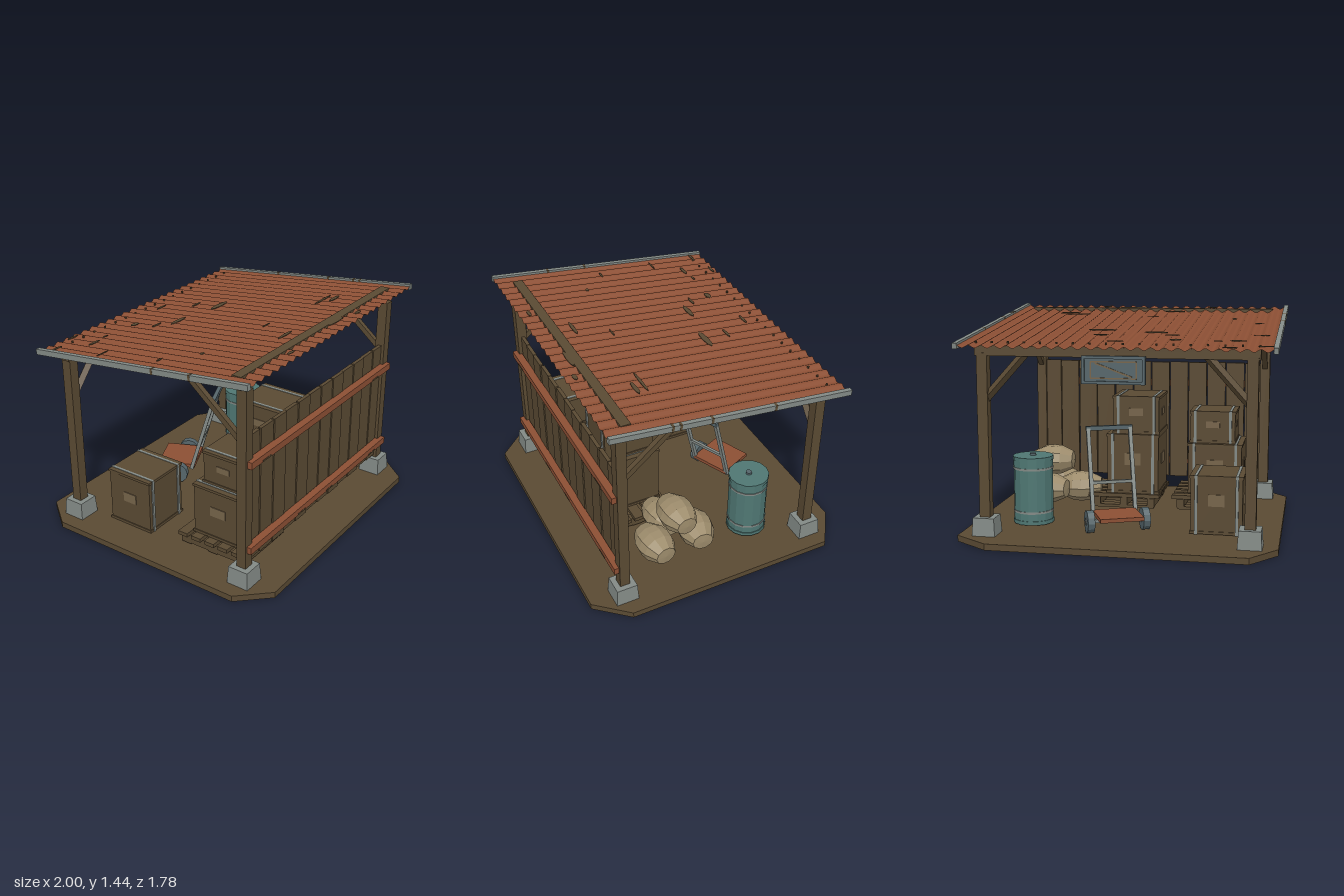
import * as THREE from 'three';

export function createModel() {
  const root = new THREE.Group();
  root.name = 'storageShelter';
  const mat = (name, color, extra = {}) => {
    const m = new THREE.MeshStandardMaterial({ color, flatShading: true, ...extra });
    m.name = name;
    return m;
  };
  const wood = mat('weatheredWood', 0x5a4a33);
  const rust = mat('rustRed', 0x8c4f34, { side: THREE.DoubleSide });
  const grey = mat('greyMetal', 0x838a86);
  const teal = mat('tealPaint', 0x4f7773);
  const slate = mat('slateBlue', 0x56666b);
  const burlap = mat('burlap', 0x9c8b6b);
  const tan = mat('tanLabel', 0x76644a);

  const add = (name, geo, m, x, y, z, parent = root) => {
    const mesh = new THREE.Mesh(geo, m);
    mesh.name = name;
    mesh.position.set(x, y, z);
    parent.add(mesh);
    return mesh;
  };
  const box = (name, m, w, h, d, x, y, z, parent) =>
    add(name, new THREE.BoxGeometry(w, h, d), m, x, y, z, parent);
  const group = (name, x, y, z, ry = 0, parent = root) => {
    const g = new THREE.Group();
    g.name = name;
    g.position.set(x, y, z);
    g.rotation.y = ry;
    parent.add(g);
    return g;
  };
  // Square bar running between two points
  const bar = (name, m, a, b, t, parent) => {
    const p = new THREE.Vector3(...a), q = new THREE.Vector3(...b);
    const mesh = box(name, m, t, t, p.distanceTo(q), 0, 0, 0, parent);
    mesh.position.copy(p).add(q).multiplyScalar(0.5);
    mesh.quaternion.setFromUnitVectors(new THREE.Vector3(0, 0, 1), q.sub(p).normalize());
    return mesh;
  };

  // Ground slab with clipped corners
  const outline = [[-0.82, 0.89], [-1, 0.7], [-1, -0.68], [-0.84, -0.89],
    [0.77, -0.89], [1, -0.73], [1, 0.68], [0.82, 0.89]].map(p => new THREE.Vector2(...p));
  const slab = new THREE.ExtrudeGeometry(new THREE.Shape(outline), { depth: 0.04, bevelEnabled: false });
  add('groundSlab', slab.rotateX(Math.PI / 2), wood, 0, 0.04, 0);

  // Posts, footings and braces
  for (const s of [-1, 1]) {
    for (const [z, top] of [[0.672, 1.33], [-0.66, 1.19]]) {
      box('post', wood, 0.068, top - 0.1, 0.066, s * 0.83, (top + 0.1) / 2, z);
      const foot = new THREE.CylinderGeometry(0.068 * Math.SQRT2, 0.075 * Math.SQRT2, 0.115, 4).rotateY(Math.PI / 4);
      add('footing', foot, grey, s * 0.83, 0.0975, z);
    }
    bar('frontBrace', wood, [s * 0.83, 0.99, 0.66], [s * 0.83, 1.3, 0.29], 0.035);
    bar('backBrace', wood, [s * 0.82, 0.9, -0.66], [s * 0.55, 1.2, -0.66], 0.04);
  }
  box('frontBeam', wood, 1.75, 0.082, 0.062, 0, 1.372, 0.643);
  box('backBeam', wood, 1.75, 0.062, 0.066, 0, 1.203, -0.658);

  // Plank wall and rails
  for (let i = 0; i < 12; i++) {
    const wobble = ((i * 7) % 5 - 2) * 0.002;
    box('wallPlank', wood, 0.13, 0.85 + wobble, 0.024, -0.752 + i * 0.1367, 0.597, 0.672 + wobble);
  }
  for (const [y, stains] of [[0.864, [-0.69, 0.64]], [0.284, [-0.28, 0.07, 0.66]]]) {
    box('wallRail', rust, 1.7, 0.045, 0.05, 0, y, 0.71);
    for (const x of stains) box('railStain', wood, 0.09, 0.01, 0.004, x, y - 0.015, 0.735);
  }

  // Corrugated roof
  const roof = group('roof', 0, 1.325, 0);
  roof.rotation.x = -0.115;
  const sheet = new THREE.PlaneGeometry(1.92, 1.58, 192, 1).rotateX(-Math.PI / 2);
  const pos = sheet.attributes.position;
  for (let i = 0; i < pos.count; i++) pos.setY(i, 0.009 * Math.cos(pos.getX(i) * Math.PI * 25));
  sheet.computeVertexNormals();
  add('roofSheet', sheet, rust, 0, 0, 0, roof);
  for (const s of [-1, 1]) {
    box('roofEdgeTrim', grey, 0.03, 0.036, 1.59, s * 0.966, 0.003, 0, roof);
    for (const z of s > 0 ? [-0.26, 0.16, 0.36, 0.41] : [0.13, 0.4])
      box('trimStain', wood, 0.032, 0.038, 0.015, s * 0.966, 0.003, z, roof);
  }
  // Weathered patches and fixing bolts
  const patches = [[-0.91, -0.7, 0.1, 0.02], [-0.7, -0.75, 0.09, 0.02], [-0.73, -0.54, 0.1, 0.025], [-0.61, -0.555, 0.05, 0.015],
    [0.01, -0.6, 0.1, 0.02], [-0.35, -0.53, 0.07, 0.04], [0.14, -0.4, 0.1, 0.02], [-0.31, -0.38, 0.09, 0.02],
    [-0.19, -0.295, 0.15, 0.035], [0.17, -0.23, 0.18, 0.045], [-0.86, -0.35, 0.1, 0.01], [-0.64, 0.24, 0.03, 0.025],
    [-0.07, 0.31, 0.08, 0.012], [-0.19, 0.525, 0.15, 0.025], [0.5, 0.38, 0.21, 0.02], [0.55, 0.44, 0.13, 0.03],
    [-0.44, 0.725, 0.07, 0.025], [0.14, 0.69, 0.18, 0.03], [0.34, 0.73, 0.06, 0.03], [-0.82, 0.06, 0.06, 0.015]];
  for (const [x, z, w, d] of patches) {
    const patch = new THREE.CylinderGeometry(0.5, 0.5, 0.004, 8).scale(w, 1, d);
    add('roofPatch', patch, wood, x, 0.01, z, roof);
  }
  for (let i = 0; i < 18; i++)
    add('roofBolt', new THREE.CylinderGeometry(0.007, 0.007, 0.012, 6), wood, -0.87 + i * 0.102, 0.01, -0.69, roof);

  // Hanging panel with frame and cross strips on the back beam
  const panel = group('hangingPanel', 0, 1.1, -0.7);
  box('panelBoard', slate, 0.39, 0.17, 0.016, 0, 0, 0, panel);
  for (const s of [-1, 1]) {
    box('panelFrameBar', slate, 0.39, 0.018, 0.012, 0, s * 0.076, -0.012, panel);
    box('panelFrameSide', slate, 0.018, 0.17, 0.012, s * 0.186, 0, -0.012, panel);
    box('panelLine', tan, 0.28, 0.008, 0.006, 0, s * 0.05, -0.01, panel);
    box('panelLineSide', tan, 0.008, 0.1, 0.006, s * 0.14, 0, -0.01, panel);
  }
  box('panelCross', tan, 0.24, 0.01, 0.006, 0, 0, -0.01, panel).rotation.z = 0.35;

  // Pallets
  const pallet = (x, z, w, d) => {
    const g = group('pallet', x, 0, z);
    for (const s of [-1, 0, 1]) box('palletRunner', wood, 0.05, 0.06, d, s * (w / 2 - 0.06), 0.095, 0, g);
    for (let i = 0; i < 5; i++) {
      const pz = (i / 4 - 0.5) * (d - 0.07);
      box('palletSlat', wood, w, 0.026, 0.07, 0, 0.14, pz, g);
      if (i % 2 === 0) box('palletFoot', wood, w - 0.08, 0.02, 0.07, 0, 0.065, pz, g);
    }
  };
  pallet(-0.5, 0.36, 0.53, 0.48);
  pallet(0.1, 0.33, 0.5, 0.46);

  // Crates with lids, metal straps and label plates
  const crate = (x, y, z, w, h, d) => {
    const g = group('crate', x, y, z);
    box('crateBody', wood, w - 0.012, h, d - 0.012, 0, h / 2, 0, g);
    box('crateLid', wood, w, 0.018, d, 0, h - 0.009, 0, g);
    box('crateBase', wood, w, 0.018, d, 0, 0.009, 0, g);
    for (const s of [-1, 1]) box('crateStrap', grey, 0.018, h + 0.006, d + 0.006, s * w * 0.38, h / 2, 0, g);
    box('crateLabel', tan, w * 0.3, h * 0.2, 0.006, 0, h * 0.58, -d / 2 + 0.004, g);
    box('crateSideLabel', tan, 0.006, h * 0.18, d * 0.3, -w / 2 + 0.004, h * 0.55, 0, g);
  };
  crate(-0.52, 0.153, 0.388, 0.38, 0.35, 0.375);
  crate(-0.5, 0.503, 0.393, 0.32, 0.222, 0.305);
  crate(0.04, 0.153, 0.31, 0.37, 0.415, 0.38);
  crate(0.02, 0.568, 0.32, 0.33, 0.262, 0.355);
  crate(-0.6, 0.045, -0.275, 0.34, 0.375, 0.34);

  // Grain sacks
  const profile = [[0, -0.145], [0.07, -0.14], [0.112, -0.06], [0.12, 0], [0.112, 0.06], [0.07, 0.14], [0, 0.145]]
    .map(p => new THREE.Vector2(...p));
  for (const [x, y, z, ry] of [[0.64, 0.185, 0.36, 0.1], [0.63, 0.185, 0.06, -0.1], [0.42, 0.175, 0.2, 0.15], [0.62, 0.36, 0.195, 0.05]]) {
    const sack = add('sack', new THREE.LatheGeometry(profile, 10).rotateZ(Math.PI / 2), burlap, x, y, z);
    sack.scale.y = 0.88;
    sack.rotation.y = ry;
  }

  // Barrel
  const barrel = group('barrel', 0.615, 0, -0.338);
  const drum = (name, m, r, h, y, x = 0) =>
    add(name, new THREE.CylinderGeometry(r, r, h, 14), m, x, y, 0, barrel);
  drum('barrelBody', teal, 0.128, 0.42, 0.27);
  drum('barrelBottomRim', teal, 0.133, 0.025, 0.063);
  drum('barrelTopRim', teal, 0.133, 0.025, 0.48);
  drum('barrelHoop', grey, 0.132, 0.014, 0.13);
  drum('barrelHoop', grey, 0.132, 0.014, 0.415);
  drum('barrelCap', slate, 0.02, 0.015, 0.499);

  // Hand truck
  const truck = group('handTruck', 0.03, 0, -0.45, 0.42);
  box('truckPlatform', rust, 0.28, 0.025, 0.26, 0, 0.148, -0.02, truck);
  for (const s of [-1, 1]) {
    bar('truckRail', grey, [s * 0.14, 0.13, 0.09], [s * 0.14, 0.675, 0.25], 0.025, truck);
    const wheel = new THREE.CylinderGeometry(0.073, 0.073, 0.045, 12).rotateZ(Math.PI / 2);
    add('truckWheel', wheel, slate, s * 0.18, 0.113, 0, truck);
    const hub = new THREE.CylinderGeometry(0.025, 0.025, 0.055, 8).rotateZ(Math.PI / 2);
    add('truckHub', hub, grey, s * 0.18, 0.113, 0, truck);
  }
  box('truckAxle', grey, 0.36, 0.02, 0.02, 0, 0.113, 0, truck);
  box('truckHandle', slate, 0.31, 0.028, 0.028, 0, 0.67, 0.25, truck);
  box('truckCrossbar', grey, 0.28, 0.02, 0.02, 0, 0.33, 0.15, truck);

  return root;
}
